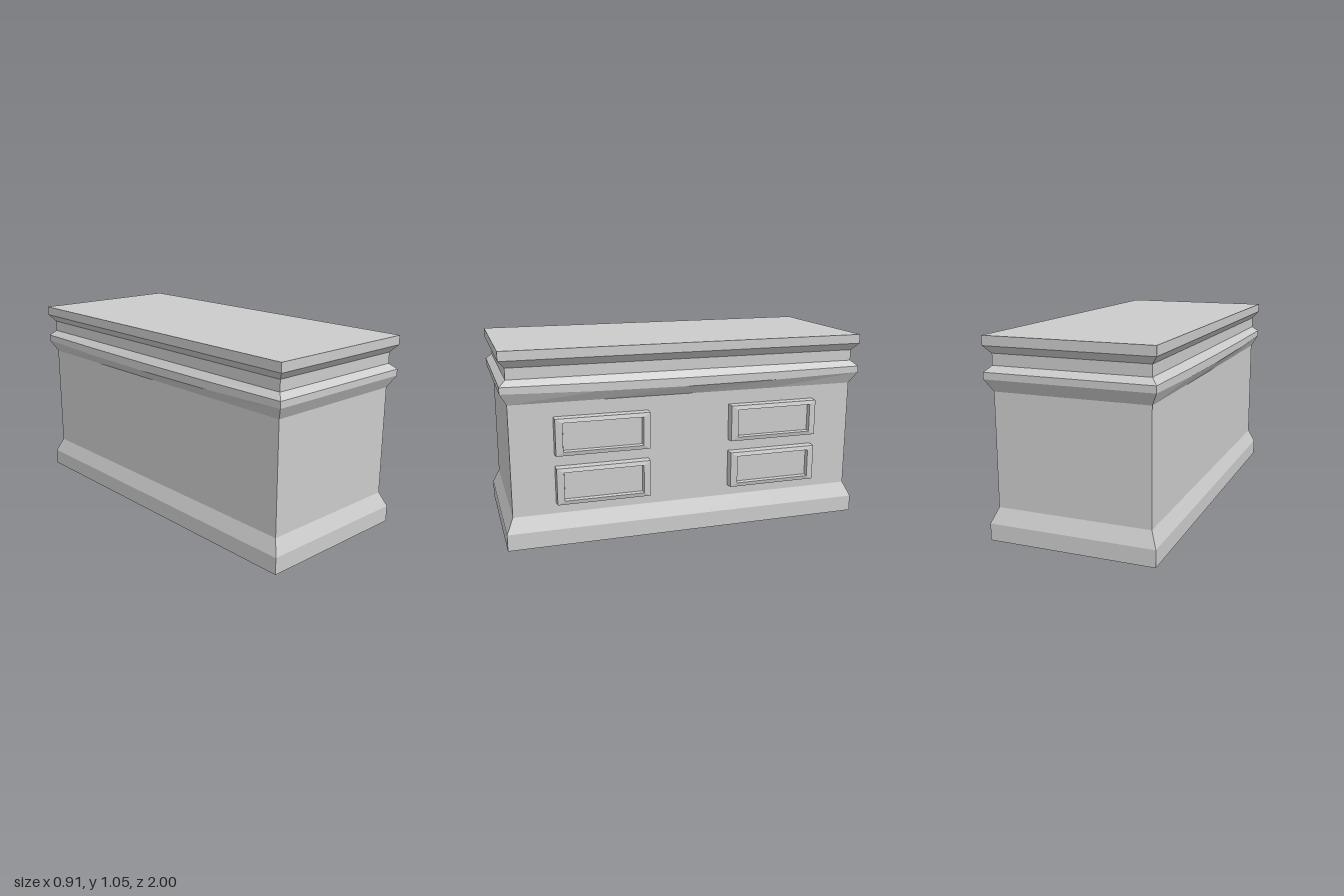
import * as THREE from 'three';

// Skin a stack of equal-length rings (each counter-clockwise seen from the end) and cap both ends
function loft(rings, name) {
  const pos = [];
  const tri = (a, b, c) => pos.push(...a, ...b, ...c);
  const n = rings[0].length;
  for (let i = 0; i < rings.length - 1; i++) {
    for (let j = 0; j < n; j++) {
      const k = (j + 1) % n;
      const [a, b, c, d] = [rings[i][j], rings[i][k], rings[i + 1][k], rings[i + 1][j]];
      tri(a, b, c);
      tri(a, c, d);
    }
  }
  const first = rings[0], last = rings[rings.length - 1];
  for (let j = 1; j < n - 1; j++) {
    tri(first[0], first[j + 1], first[j]);
    tri(last[0], last[j], last[j + 1]);
  }
  const geo = new THREE.BufferGeometry();
  geo.setAttribute('position', new THREE.Float32BufferAttribute(pos, 3));
  geo.computeVertexNormals();
  const mesh = new THREE.Mesh(geo, new THREE.MeshStandardMaterial({ color: 0xcccccc, flatShading: true }));
  mesh.name = name;
  return mesh;
}

// Rectangular ring of the body; its long sides may sag towards the middle
function bodyRing([y, inset, sag]) {
  const steps = 4, hx = 0.4475 - inset, hz = 1 - inset * 1.08, ring = [];
  for (const side of [1, -1]) {
    for (let i = 0; i <= steps; i++) {
      const t = 1 - (2 * i) / steps;
      ring.push([side * hx - 0.0115, y - sag * (1 - t * t), side * t * hz]);
    }
  }
  return ring;
}

// Raised drawer front with a sloping frame and a recessed field
function drawer(y, z) {
  const profile = [ // x, half height, half depth
    [0.39, 0.101, 0.2535],
    [0.45, 0.099, 0.2515],
    [0.456, 0.077, 0.214],
    [0.433, 0.073, 0.21],
  ];
  return loft(profile.map(([x, h, d]) => [
    [x, y - h, z + d], [x, y - h, z - d], [x, y + h, z - d], [x, y + h, z + d],
  ]), 'drawerFront');
}

export function createModel() {
  const group = new THREE.Group();
  group.name = 'counter';

  // Body with plinth, mid moulding and top slab: height, inset, sag
  const profile = [
    [0, 0, 0], [0.09, 0, 0], [0.17, 0.034, 0], [0.77, 0.034, 0],
    [0.835, 0, 0.018], [0.87, 0, 0.007], [0.9, 0.032, 0],
    [0.96, 0.032, 0], [1.0, 0, 0], [1.05, 0, 0],
  ];
  group.add(loft(profile.map(bodyRing), 'body'));

  // Two stacks of two drawers on one long side
  for (const z of [-0.482, 0.482]) {
    for (const y of [0.329, 0.594]) group.add(drawer(y, z));
  }
  return group;
}
